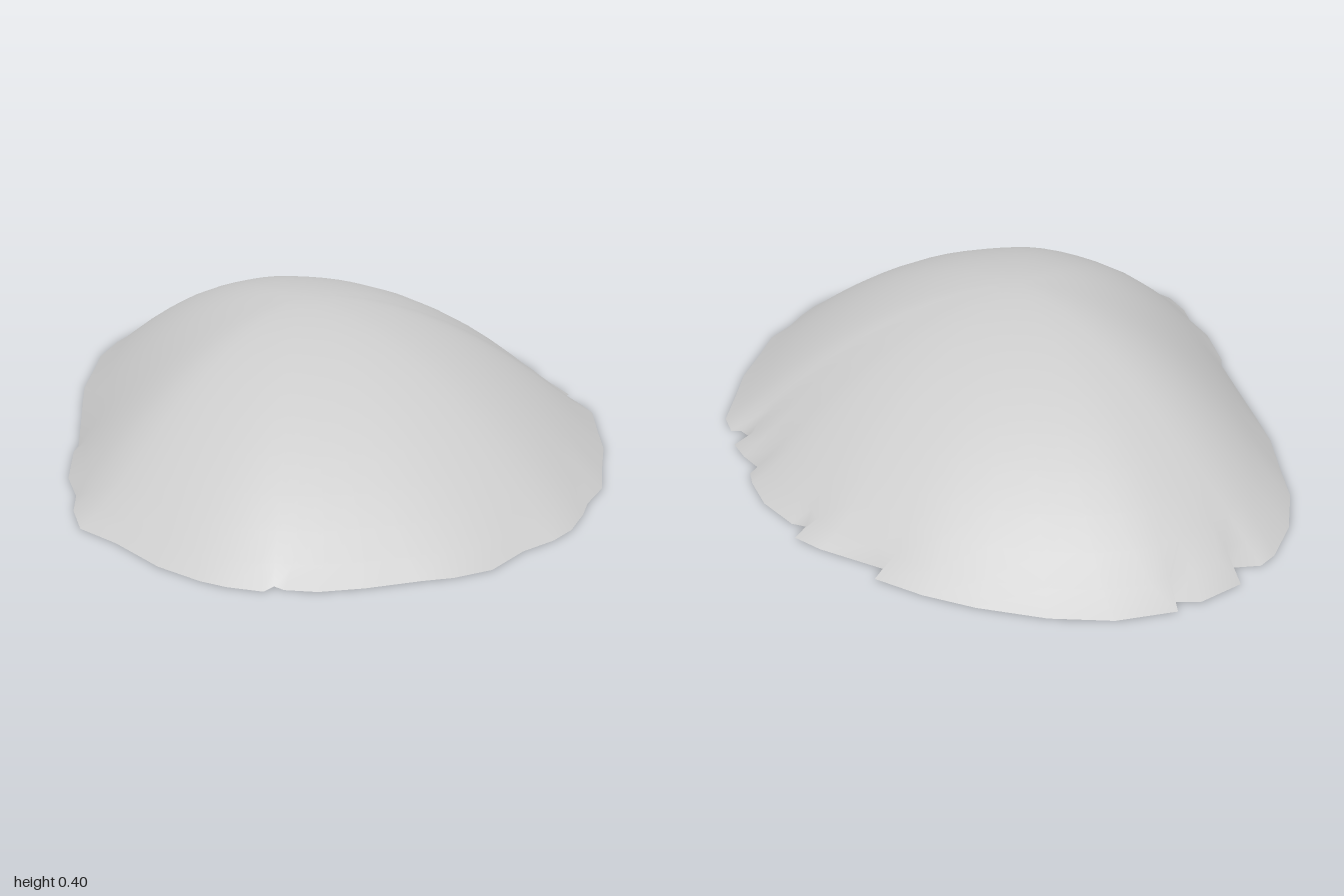
import * as THREE from 'three';

// Chipped rim on the ground, as x, z pairs going round from the back
const RIM = [
  0.34, -1, 0.4, -0.99, 0.45, -0.93, 0.5, -0.98, 0.62, -0.93, 0.655, -0.875, 0.685, -0.9,
  0.8, -0.79, 0.88, -0.65, 0.94, -0.48, 0.97, -0.34, 0.98, -0.2, 0.935, -0.19, 0.955, 0,
  0.95, 0.09, 0.895, 0.1, 0.905, 0.14, 0.87, 0.27, 0.81, 0.37, 0.775, 0.41, 0.74, 0.41,
  0.715, 0.49, 0.68, 0.56, 0.62, 0.56, 0.61, 0.6, 0.625, 0.625, 0.58, 0.69, 0.45, 0.77,
  0.34, 0.84, 0.2, 0.9, 0.08, 0.955, -0.03, 0.965, -0.1, 0.985, -0.2, 1, -0.28, 0.99,
  -0.38, 0.955, -0.51, 0.94, -0.6, 0.885, -0.66, 0.83, -0.77, 0.74, -0.85, 0.66, -0.89, 0.59,
  -0.89, 0.56, -0.925, 0.555, -0.96, 0.47, -0.975, 0.4, -0.98, 0.27, -0.95, 0.1, -0.945, -0.03,
  -0.88, -0.12, -0.81, -0.18, -0.74, -0.28, -0.6, -0.4, -0.56, -0.42, -0.44, -0.53,
  -0.3, -0.66, -0.2, -0.75, -0.05, -0.85, 0.05, -0.92, 0.2, -0.98,
];
const HEIGHT = 0.403;

const rim = [];
for (let i = 0; i < RIM.length; i += 2) rim.push(new THREE.Vector2(RIM[i], RIM[i + 1]));

// Rounds off the chips by averaging each point with its neighbours
function smoothed(points, passes) {
  let out = points;
  for (let k = 0; k < passes; k++) {
    out = out.map((p, i) => {
      const a = out[(i + out.length - 1) % out.length], b = out[(i + 1) % out.length];
      return new THREE.Vector2((a.x + 2 * p.x + b.x) / 4, (a.y + 2 * p.y + b.y) / 4);
    });
  }
  return out;
}

// Dome of concentric rings, running from the peak down to the chipped rim
function domeGeometry() {
  const soft = smoothed(rim, 3), n = rim.length;
  const levels = [0.1, 0.2, 0.3, 0.4, 0.5, 0.6, 0.7, 0.8, 0.88, 0.95, 1];
  const pos = [0, HEIGHT, 0], index = [];
  levels.forEach((t, r) => {
    const y = HEIGHT * (1 - Math.pow(t, 1.95));
    for (let j = 0; j < n; j++) {
      const p = soft[j].clone().lerp(rim[j], Math.pow(t, 20)).multiplyScalar(t);
      pos.push(p.x, y, p.y);
      const k = (j + 1) % n, a = 1 + r * n;
      if (r === 0) index.push(0, a + k, a + j);
      else index.push(a - n + j, a + k, a + j, a - n + j, a - n + k, a + k);
    }
  });
  const geo = new THREE.BufferGeometry();
  geo.setAttribute('position', new THREE.Float32BufferAttribute(pos, 3));
  geo.setIndex(index);
  geo.computeVertexNormals();
  return geo;
}

export function createModel() {
  const stone = new THREE.MeshStandardMaterial({ color: 0xcccccc });
  stone.name = 'pale grey stone';
  const group = new THREE.Group();
  group.name = 'boulder';

  const dome = new THREE.Mesh(domeGeometry(), stone);
  dome.name = 'dome';
  group.add(dome);

  // Flat underside, facing down
  const base = new THREE.Mesh(new THREE.ShapeGeometry(new THREE.Shape(rim)).rotateX(Math.PI / 2), stone);
  base.name = 'underside';
  group.add(base);
  return group;
}
